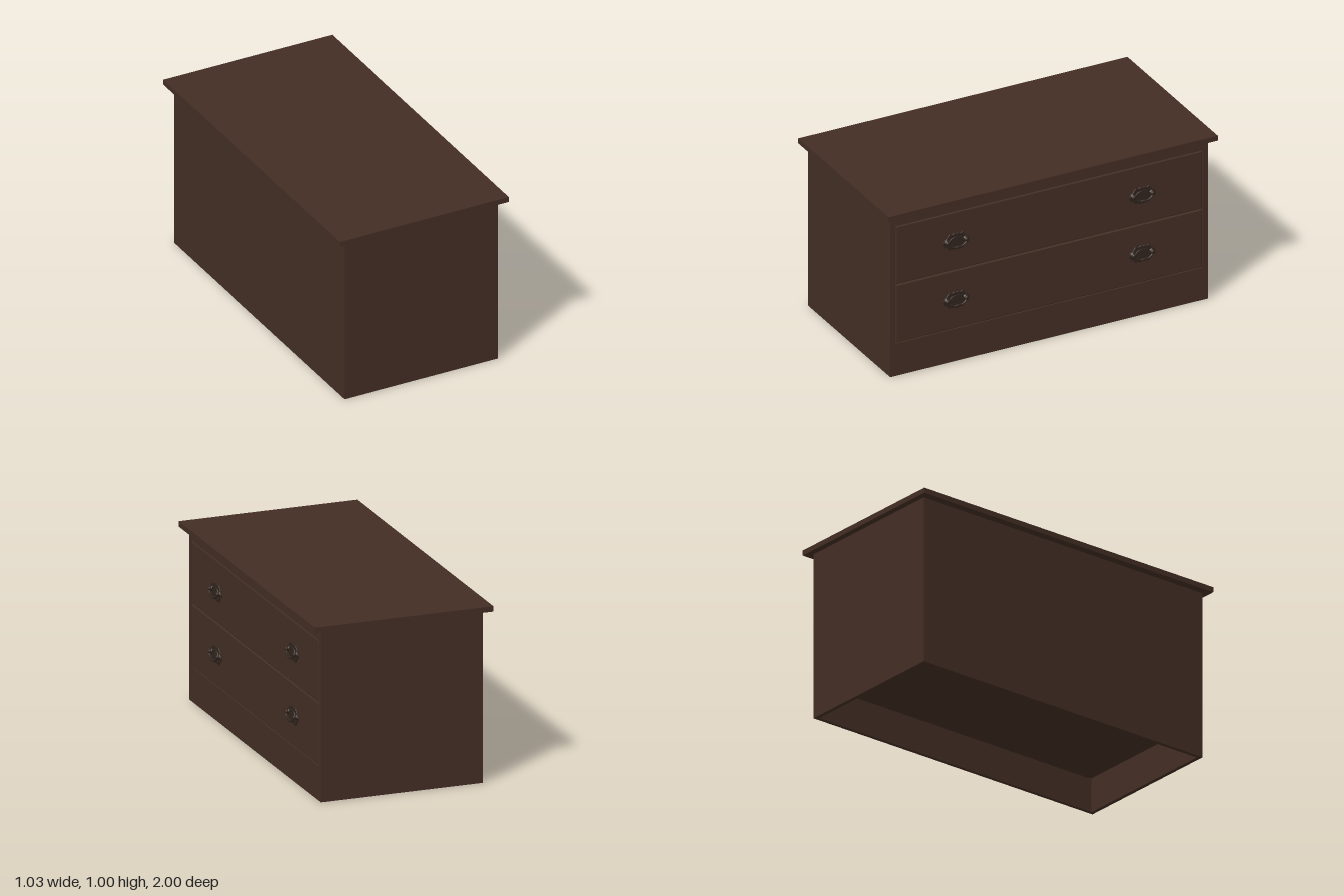
import * as THREE from 'three';

const wood = new THREE.MeshStandardMaterial({ color: 0x432e24 });
wood.name = 'dark brown wood';
const metal = new THREE.MeshStandardMaterial({ color: 0x32251e });
metal.name = 'aged bronze';

const FACE = 0.467; // x of the drawer face

function add(parent, name, geometry, material, x = 0, y = 0, z = 0) {
  const mesh = new THREE.Mesh(geometry, material);
  mesh.name = name;
  mesh.position.set(x, y, z);
  parent.add(mesh);
  return mesh;
}

// Box given by its minimum and maximum corners
function box(parent, name, [x0, y0, z0], [x1, y1, z1]) {
  add(parent, name, new THREE.BoxGeometry(x1 - x0, y1 - y0, z1 - z0), wood,
    (x0 + x1) / 2, (y0 + y1) / 2, (z0 + z1) / 2);
}

function rectangle(target, w, y0, y1) {
  target.moveTo(-w, y0);
  target.lineTo(w, y0);
  target.lineTo(w, y1);
  target.lineTo(-w, y1);
  target.closePath();
  return target;
}

// Extrude a z-y outline so that it faces +x
function facing(shape, options) {
  return new THREE.ExtrudeGeometry(shape, options).rotateY(Math.PI / 2);
}

// Scalloped back plate outline, mirrored left and right, top and bottom
function plateShape() {
  const quarter = [[0.078, 0], [0.072, 0.018], [0.057, 0.023], [0.05, 0.035],
    [0.04, 0.047], [0.024, 0.042], [0.012, 0.048], [0, 0.045]];
  const half = [...quarter, ...quarter.slice(0, -1).reverse().map(([x, y]) => [-x, y])];
  const outline = [...half, ...half.slice(1, -1).reverse().map(([x, y]) => [x, -y])];
  return new THREE.Shape(outline.map(([x, y]) => new THREE.Vector2(x, y)));
}

function createHandle() {
  const handle = new THREE.Group();
  handle.name = 'drawerHandle';
  add(handle, 'backPlate', facing(plateShape(), {
    depth: 0.004, bevelEnabled: true, bevelThickness: 0.002, bevelSize: 0.002, bevelSegments: 1,
  }), metal);

  // Turned posts at both ends of the bail
  const profile = [[0.017, 0], [0.017, 0.006], [0.01, 0.01], [0.009, 0.015],
    [0.013, 0.018], [0.012, 0.023], [0.006, 0.026], [0, 0.027]]
    .map(([r, h]) => new THREE.Vector2(r, h));
  for (const side of [-1, 1]) {
    add(handle, 'post', new THREE.LatheGeometry(profile, 16).rotateZ(-Math.PI / 2),
      metal, 0, 0.004, side * 0.057);
  }

  // Hanging bail with a swollen grip
  const path = new THREE.CatmullRomCurve3([
    [0.018, 0.004, -0.057], [0.021, -0.012, -0.048], [0.024, -0.024, -0.026], [0.025, -0.027, 0],
    [0.024, -0.024, 0.026], [0.021, -0.012, 0.048], [0.018, 0.004, 0.057],
  ].map((p) => new THREE.Vector3(...p)));
  add(handle, 'bail', new THREE.TubeGeometry(path, 32, 0.0055, 8), metal);
  const grip = new THREE.SphereGeometry(1, 16, 10).scale(0.007, 0.008, 0.026);
  add(handle, 'grip', grip, metal, 0.025, -0.026, 0);

  // Raised arch framing the centre of the plate
  const arch = new THREE.CatmullRomCurve3([
    [0.007, 0.006, -0.042], [0.008, 0.02, -0.03], [0.008, 0.027, 0], [0.008, 0.02, 0.03],
    [0.007, 0.006, 0.042],
  ].map((p) => new THREE.Vector3(...p)));
  add(handle, 'plateArch', new THREE.TubeGeometry(arch, 24, 0.003, 6), metal);
  return handle;
}

export function createModel() {
  const chest = new THREE.Group();
  chest.name = 'chestOfDrawers';

  // Carcass, open underneath below the floor panel
  box(chest, 'top', [-0.515, 0.97, -1], [0.515, 1, 1]);
  box(chest, 'backPanel', [-0.468, 0, -0.965], [-0.446, 0.97, 0.965]);
  box(chest, 'sidePanel', [-0.446, 0, -0.965], [FACE, 0.97, -0.943]);
  box(chest, 'sidePanel', [-0.446, 0, 0.943], [FACE, 0.97, 0.965]);
  box(chest, 'floorPanel', [-0.446, 0.2, -0.943], [0.447, 0.22, 0.943]);
  box(chest, 'drawerBacking', [0.42, 0.2, -0.943], [0.447, 0.97, 0.943]);

  // Face frame with one opening for both drawers
  const frame = rectangle(new THREE.Shape(), 0.943, 0, 0.97);
  frame.holes.push(rectangle(new THREE.Path(), 0.936, 0.195, 0.906));
  add(chest, 'faceFrame', facing(frame, { depth: 0.02, bevelEnabled: false }), wood, FACE - 0.02);

  // Two wide drawers with a pair of handles each
  for (const [y0, y1] of [[0.199, 0.548], [0.553, 0.902]]) {
    const drawer = new THREE.Group();
    drawer.name = 'drawer';
    const front = rectangle(new THREE.Shape(), 0.926, y0 + 0.005, y1 - 0.005);
    add(drawer, 'drawerFront', facing(front, {
      depth: 0.015, bevelEnabled: true, bevelThickness: 0.004, bevelSize: 0.005, bevelSegments: 1,
    }), wood, FACE - 0.019);
    for (const z of [-0.565, 0.565]) {
      const handle = createHandle();
      handle.position.set(FACE, (y0 + y1) / 2, z);
      drawer.add(handle);
    }
    chest.add(drawer);
  }
  return chest;
}
